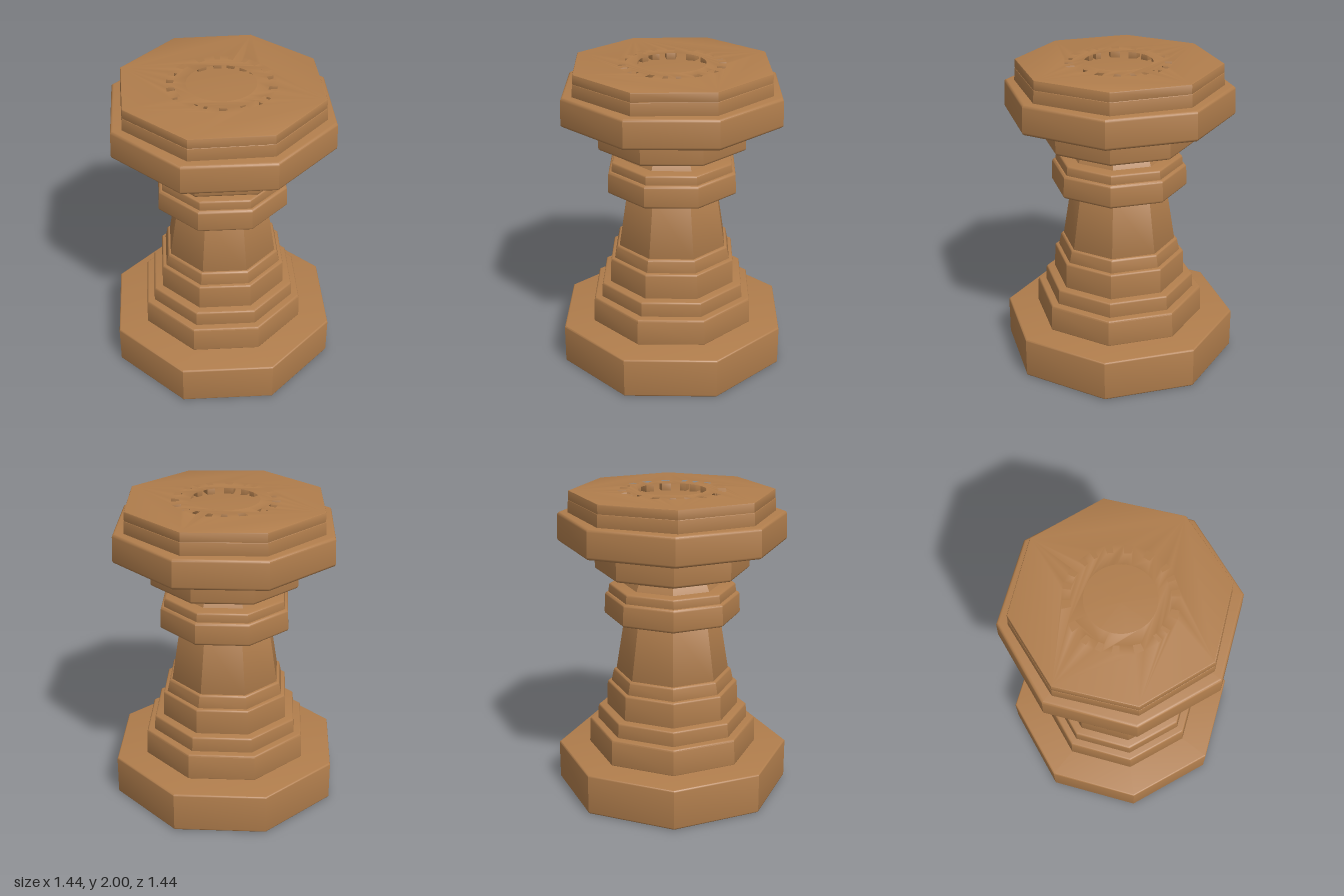
import * as THREE from 'three';
import { toCreasedNormals } from 'three/addons/utils/BufferGeometryUtils.js';

const RAD = Math.PI / 180;
const FLAT = Math.cos(21 * RAD); // half-width of the turned octagon / its corner radius

// Octagonal block with rounded rims; h0 and h1 are the half-widths at foot and top
function octagonBlock(y0, y1, h0, h1, bevel, twist) {
  const r0 = h0 / FLAT, r1 = h1 / FLAT;
  const points = [new THREE.Vector2(0, y0)];
  for (let i = 0; i <= 3; i++) {
    const a = i * 30 * RAD;
    points.push(new THREE.Vector2(r0 - bevel + bevel * Math.sin(a), y0 + bevel - bevel * Math.cos(a)));
  }
  for (let i = 0; i <= 3; i++) {
    const a = i * 30 * RAD;
    points.push(new THREE.Vector2(r1 - bevel + bevel * Math.cos(a), y1 - bevel + bevel * Math.sin(a)));
  }
  points.push(new THREE.Vector2(0, y1));
  return toCreasedNormals(new THREE.LatheGeometry(points, 8, (22.5 + twist) * RAD), 0.6);
}

// Top slab pierced by the round well and a ring of uneven carved pits
function carvedTop(y0, y1, half, twist) {
  const bevel = 0.008;
  const at = (r, deg) => new THREE.Vector2(r * Math.cos(deg * RAD), -r * Math.sin(deg * RAD));
  const outline = [];
  for (let i = 0; i < 8; i++) outline.push(at(half / FLAT, 22.5 + i * 45 - twist));
  const shape = new THREE.Shape(outline);

  const well = new THREE.Path();
  well.absarc(0, 0, 0.225, 0, Math.PI * 2, true);
  shape.holes.push(well);

  const pits = [-113, -93, -77, -60, -46, -29, -9, 14, 36, 50, 67, 90, 110, 122, 145, 168, 185, 201, 221];
  pits.forEach((deg, i) => {
    const before = i ? deg - pits[i - 1] : deg - pits[pits.length - 1] + 360;
    const after = i < pits.length - 1 ? pits[i + 1] - deg : pits[0] + 360 - deg;
    const w = Math.min(6, 0.3 * Math.min(before, after));
    const skew = (i % 3 - 1) * 0.006;
    shape.holes.push(new THREE.Path([
      at(0.285 + skew, deg - w), at(0.352, deg - w),
      at(0.352 + skew, deg + w), at(0.285, deg + w),
    ]));
  });

  const geometry = new THREE.ExtrudeGeometry(shape, {
    depth: y1 - y0 - 2 * bevel, curveSegments: 24,
    bevelEnabled: true, bevelSize: bevel, bevelThickness: bevel, bevelOffset: -bevel, bevelSegments: 2,
  });
  geometry.rotateX(-Math.PI / 2);
  geometry.translate(0, y0 + bevel, 0);
  return toCreasedNormals(geometry, 0.6);
}

export function createModel() {
  const group = new THREE.Group();
  const clay = new THREE.MeshStandardMaterial({ color: 0xb07d4c });
  clay.name = 'brown clay';

  const add = (name, geometry) => {
    const mesh = new THREE.Mesh(geometry, clay);
    mesh.name = name;
    group.add(mesh);
  };

  // Stacked blocks: name, foot, top, half-width at foot and top, rounding, twist in degrees
  const blocks = [
    ['base', 0, 0.27, 0.72, 0.72, 0.012, 1.5],
    ['lowerStep', 0.26, 0.445, 0.525, 0.52, 0.015, 1.5],
    ['secondStep', 0.43, 0.545, 0.47, 0.465, 0.015, 1.5],
    ['thirdStep', 0.53, 0.715, 0.41, 0.405, 0.015, 1.5],
    ['fourthStep', 0.70, 0.80, 0.38, 0.366, 0.015, 1.5],
    ['column', 0.78, 1.20, 0.35, 0.288, 0.005, 1.5],
    ['collar', 1.18, 1.33, 0.415, 0.41, 0.018, 1.5],
    ['collarStep', 1.31, 1.39, 0.39, 0.385, 0.015, 1.5],
    ['neckLower', 1.38, 1.435, 0.305, 0.285, 0.004, 1.5],
    ['neckUpper', 1.43, 1.50, 0.285, 0.31, 0.004, 1.5],
    ['upperBlock', 1.485, 1.68, 0.468, 0.468, 0.018, 2],
    ['capital', 1.67, 1.86, 0.69, 0.685, 0.02, 2],
    ['crown', 1.85, 1.94, 0.622, 0.617, 0.003, 3.5],
  ];
  for (const [name, ...size] of blocks) add(name, octagonBlock(...size));

  add('carvedTop', carvedTop(1.92, 2, 0.615, 3.5));
  return group;
}
